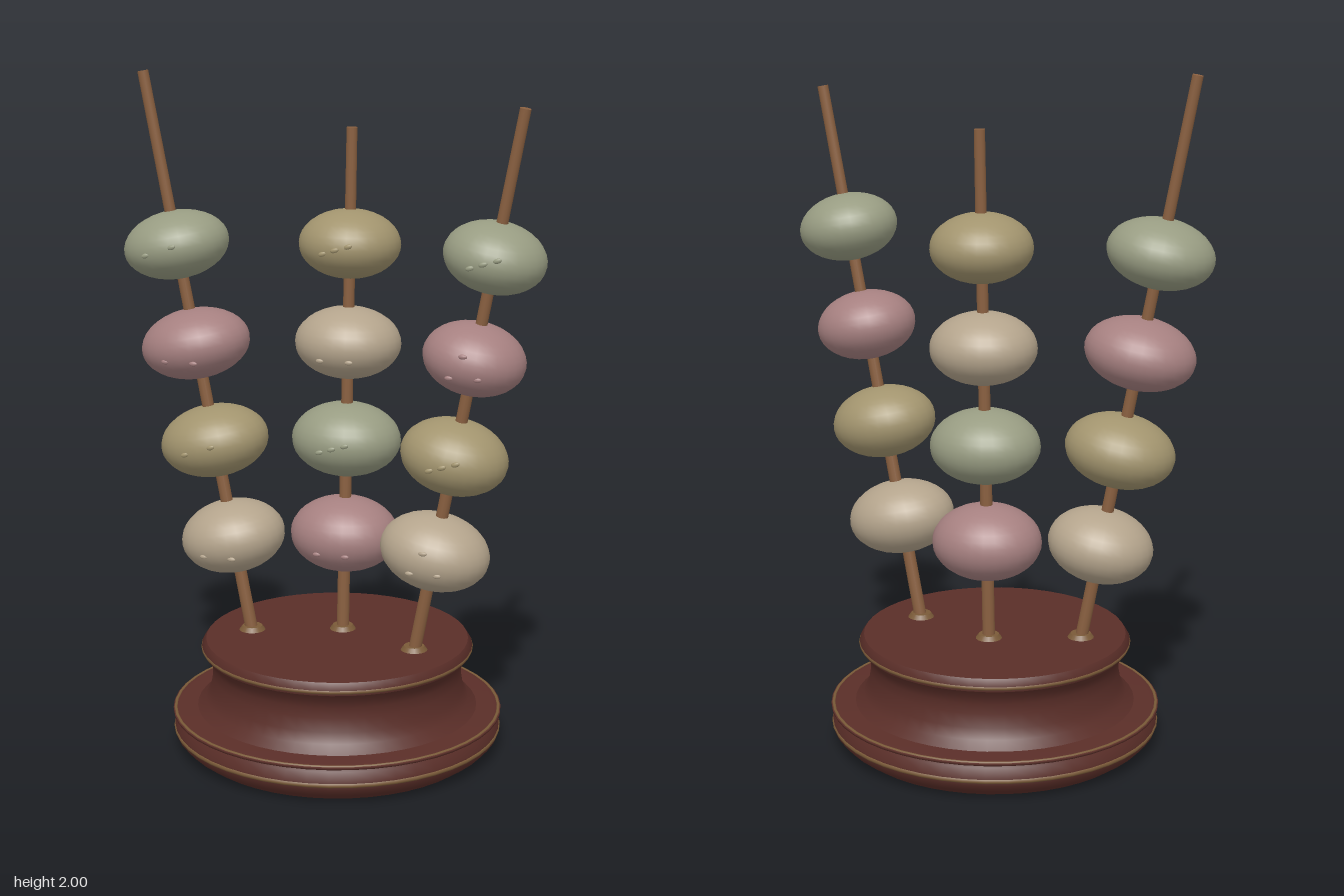
import * as THREE from 'three';

const mat = (color) => new THREE.MeshStandardMaterial({ color });
const wood = mat(0x5a2e28), trim = mat(0x7a5a38), stick = mat(0x8a6040);
const colors = {
  green: mat(0x989c82), pink: mat(0xa68080), tan: mat(0xa2946e), cream: mat(0xb4a48c),
};
const UP = new THREE.Vector3(0, 1, 0);

function add(parent, name, geometry, material) {
  const mesh = new THREE.Mesh(geometry, material);
  mesh.name = name;
  parent.add(mesh);
  return mesh;
}

function ring(parent, name, radius, tube, y, x = 0, z = 0) {
  const mesh = add(parent, name, new THREE.TorusGeometry(radius, tube, 8, 48), trim);
  mesh.rotation.x = Math.PI / 2;
  mesh.position.set(x, y, z);
  return mesh;
}

// Turned base: each run of points is its own lathe so edges between runs stay sharp
function makeBase() {
  const base = new THREE.Group();
  base.name = 'base';
  const runs = [
    [[0, 0], [0.43, 0]],
    [[0.43, 0], [0.465, 0.025], [0.487, 0.05], [0.489, 0.075], [0.475, 0.1], [0.47, 0.112]],
    [[0.47, 0.112], [0.493, 0.114], [0.493, 0.121], [0.47, 0.123], [0.42, 0.126]],
    [[0.42, 0.126], [0.395, 0.15], [0.38, 0.18], [0.373, 0.22], [0.373, 0.25], [0.382, 0.275], [0.4, 0.298]],
    [[0.4, 0.298], [0.405, 0.315], [0.392, 0.335]],
    [[0.392, 0.335], [0, 0.335]],
  ];
  for (const run of runs) {
    add(base, 'baseTurning', new THREE.LatheGeometry(run.map((p) => new THREE.Vector2(...p)), 48), wood);
  }
  ring(base, 'lowerTrim', 0.484, 0.008, 0.064);
  ring(base, 'ledgeTrim', 0.486, 0.005, 0.12);
  ring(base, 'upperTrim', 0.4, 0.007, 0.31);
  return base;
}

// Seed layouts as x, y offsets from the centre of a dumpling
const layouts = {
  two: [[-0.043, -0.032], [0.043, -0.032]],
  pair: [[-0.04, -0.014], [0.04, 0.014]],
  row: [[-0.038, -0.011], [0, 0.002], [0.038, 0.013]],
  three: [[-0.04, -0.032], [0.04, -0.032], [0, 0.032]],
};

// Flattened dumpling, tilted with its skewer, with seeds on the front
function makeDumpling(center, tilt, [rx, ry, rz], color, layout) {
  const dumpling = new THREE.Group();
  dumpling.name = 'dumpling';
  dumpling.position.copy(center);
  const body = add(dumpling, 'dumplingBody', new THREE.SphereGeometry(1, 28, 18), colors[color]);
  body.scale.set(rx, ry, rz);
  body.quaternion.copy(tilt);
  for (const [x, y] of layouts[layout]) {
    const z = rz * Math.sqrt(1 - (x / rx) ** 2 - (y / ry) ** 2);
    const seed = add(dumpling, 'seed', new THREE.SphereGeometry(1, 10, 6), colors[color]);
    seed.scale.set(0.013, 0.007, 0.005);
    seed.position.set(x, y, z);
    seed.rotation.z = layout === 'row' || layout === 'pair' ? 0.3 : 0;
  }
  return dumpling;
}

function makeSkewer({ name, from, to, firstY, rz, balls }) {
  const skewer = new THREE.Group();
  skewer.name = name;
  const a = new THREE.Vector3(...from), b = new THREE.Vector3(...to);
  const dir = b.clone().sub(a);
  const tilt = new THREE.Quaternion().setFromUnitVectors(UP, dir.clone().normalize());
  const rod = add(skewer, 'rod', new THREE.CylinderGeometry(0.016, 0.019, dir.length(), 12), stick);
  rod.position.copy(a).addScaledVector(dir, 0.5);
  rod.quaternion.copy(tilt);
  // Socket collar where the rod enters the base
  const collar = add(skewer, 'collar', new THREE.CylinderGeometry(0.03, 0.04, 0.014, 20), trim);
  collar.position.set(a.x, 0.341, a.z);
  balls.forEach(([rx, ry, color, layout], i) => {
    const y = firstY + i * 0.291;
    const center = a.clone().addScaledVector(dir, (y - a.y) / dir.y);
    skewer.add(makeDumpling(center, tilt, [rx, ry, rz], color, layout));
  });
  return skewer;
}

export function createModel() {
  const model = new THREE.Group();
  model.name = 'dumplingSkewers';
  model.add(makeBase());
  const skewers = [
    {
      name: 'rightSkewer', from: [-0.26, 0.325, 0.028], to: [-0.572, 2.0, 0.042], firstY: 0.628, rz: 0.147,
      balls: [
        [0.157, 0.109, 'cream', 'two'], [0.163, 0.107, 'tan', 'pair'],
        [0.163, 0.104, 'pink', 'two'], [0.156, 0.1, 'green', 'pair'],
      ],
    },
    {
      name: 'middleSkewer', from: [-0.002, 0.325, -0.063], to: [0.018, 1.845, -0.083], firstY: 0.637, rz: 0.148,
      balls: [
        [0.163, 0.113, 'pink', 'two'], [0.163, 0.11, 'green', 'row'],
        [0.157, 0.106, 'cream', 'two'], [0.149, 0.101, 'tan', 'row'],
      ],
    },
    {
      name: 'leftSkewer', from: [0.253, 0.325, 0.048], to: [0.565, 1.932, 0.102], firstY: 0.648, rz: 0.142,
      balls: [
        [0.162, 0.111, 'cream', 'three'], [0.157, 0.108, 'tan', 'row'],
        [0.148, 0.103, 'pink', 'three'], [0.146, 0.1, 'green', 'row'],
      ],
    },
  ];
  for (const s of skewers) model.add(makeSkewer(s));
  return model;
}
